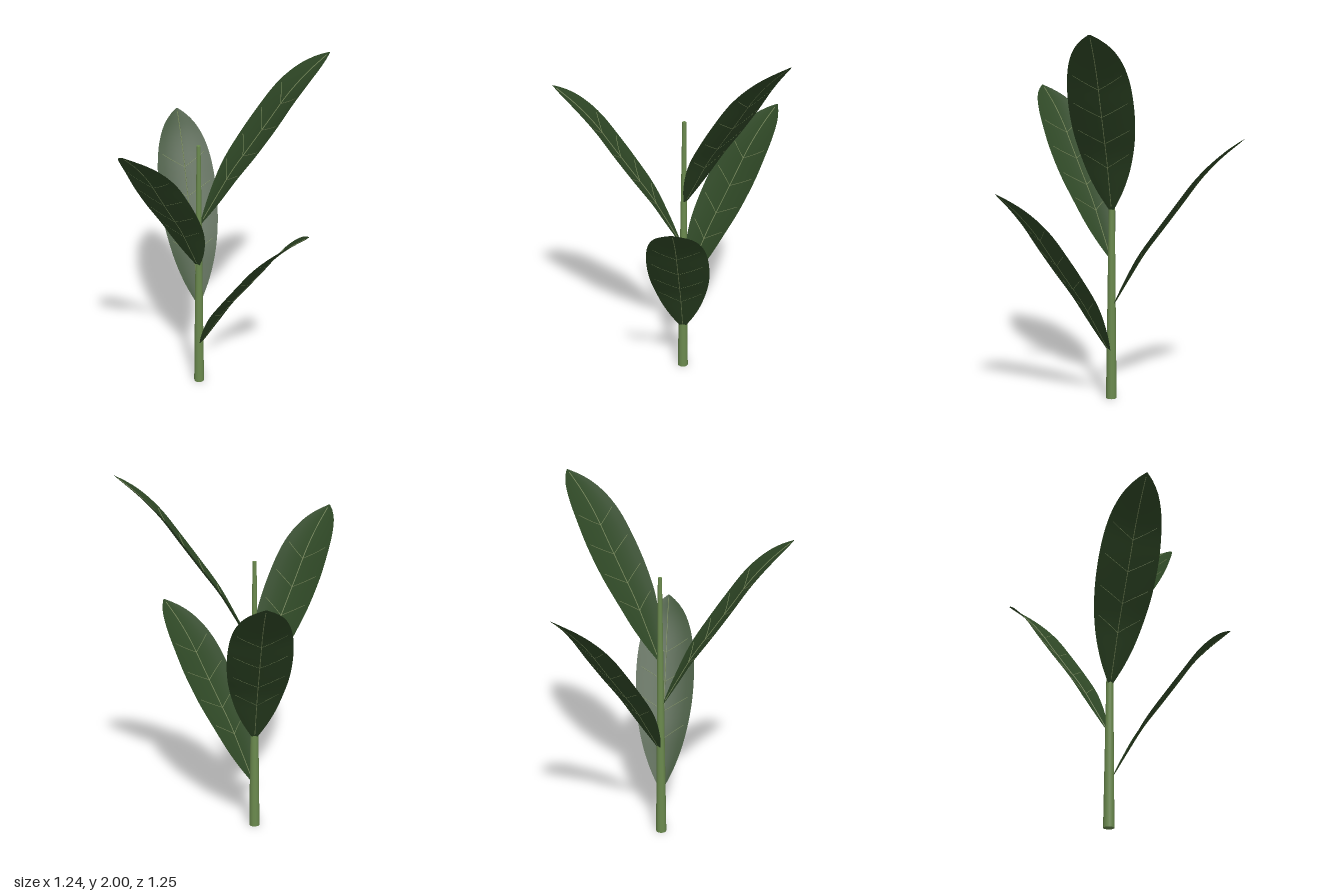
import * as THREE from 'three';

const material = (name, color, side = THREE.FrontSide) => {
  const m = new THREE.MeshStandardMaterial({ color, side });
  m.name = name;
  return m;
};

// Midrib rising away from the stem: (distance outward, height)
const midrib = new THREE.CatmullRomCurve3([
  [0.015, 0], [0.1, 0.15], [0.185, 0.295], [0.285, 0.435],
  [0.385, 0.575], [0.485, 0.715], [0.585, 0.825], [0.705, 0.93],
].map(([x, y]) => new THREE.Vector3(x, y, 0)));

// Half width along the leaf: (position, half width)
const outline = new THREE.SplineCurve([
  [0, 0.014], [0.1, 0.07], [0.22, 0.118], [0.36, 0.152], [0.5, 0.167],
  [0.65, 0.165], [0.78, 0.144], [0.88, 0.106], [0.95, 0.058], [1, 0.004],
].map(([x, y]) => new THREE.Vector2(x, y)));

function halfWidth(t) {
  let lo = 0, hi = 1;
  for (let i = 0; i < 20; i++) {
    const mid = (lo + hi) / 2;
    if (outline.getPoint(mid).x < t) lo = mid; else hi = mid;
  }
  return outline.getPoint(lo).y;
}

// Point on the gently cupped blade; t runs base to tip, u runs edge to edge
function bladePoint(t, u, lift = 0) {
  const p = midrib.getPointAt(t);
  const d = midrib.getTangentAt(t);
  const w = halfWidth(t);
  const rise = 0.02 * u * u * (w / 0.167) + lift;
  return new THREE.Vector3(p.x - d.y * rise, p.y + d.x * rise, u * w);
}

function bladeGeometry() {
  const geo = new THREE.PlaneGeometry(1, 1, 8, 32);
  const pos = geo.attributes.position;
  for (let i = 0; i < pos.count; i++) {
    const p = bladePoint(pos.getY(i) + 0.5, pos.getX(i) * 2);
    pos.setXYZ(i, p.x, p.y, p.z);
  }
  geo.computeVertexNormals();
  return geo;
}

// Thin raised vein between two (t, u) positions on the blade
function veinGeometry(t0, u0, t1, u1, radius, steps) {
  const points = [];
  for (let i = 0; i <= steps; i++) {
    const k = i / steps;
    points.push(bladePoint(t0 + (t1 - t0) * k, u0 + (u1 - u0) * k, 0.0012));
  }
  return new THREE.TubeGeometry(new THREE.CatmullRomCurve3(points), steps * 2, radius, 5);
}

export function createModel() {
  const model = new THREE.Group();
  model.name = 'plant';
  const leafGreen = material('leaf green', 0x2f4826, THREE.DoubleSide);
  const stemGreen = material('stem green', 0x6b8a4e);
  const veinGreen = material('vein green', 0x76885a);

  const add = (parent, name, geo, mat) => {
    const mesh = new THREE.Mesh(geo, mat);
    mesh.name = name;
    parent.add(mesh);
    return mesh;
  };

  const plant = new THREE.Group();
  plant.name = 'stemAndLeaves';
  plant.position.set(-0.085, 0, -0.067);
  model.add(plant);

  // Tapering stem
  const stem = add(plant, 'stem', new THREE.CylinderGeometry(0.011, 0.03, 1.535, 12), stemGreen);
  stem.position.y = 1.535 / 2;

  // Shared leaf parts
  const blade = bladeGeometry();
  const rib = veinGeometry(0.02, 0, 0.98, 0, 0.0026, 24);
  const sideVeins = [];
  for (const t of [0.24, 0.38, 0.53, 0.68]) {
    for (const side of [-1, 1]) {
      sideVeins.push(veinGeometry(t, 0, t + 0.07, side * 0.82, 0.0018, 6));
    }
  }

  // Leaves spiral up the stem: bearing in degrees, base height, reach
  const leaves = [[-1.6, 0.27, 1], [-138, 0.54, 1.02], [84, 0.805, 0.99], [-51.2, 1.07, 1.015]];
  leaves.forEach(([bearing, height, reach], i) => {
    const leaf = new THREE.Group();
    leaf.name = `leaf${i + 1}`;
    leaf.position.y = height;
    leaf.rotation.y = -THREE.MathUtils.degToRad(bearing);
    leaf.scale.x = reach;
    add(leaf, 'blade', blade, leafGreen);
    add(leaf, 'midrib', rib, veinGreen);
    sideVeins.forEach((geo) => add(leaf, 'sideVein', geo, veinGreen));
    plant.add(leaf);
  });

  return model;
}
